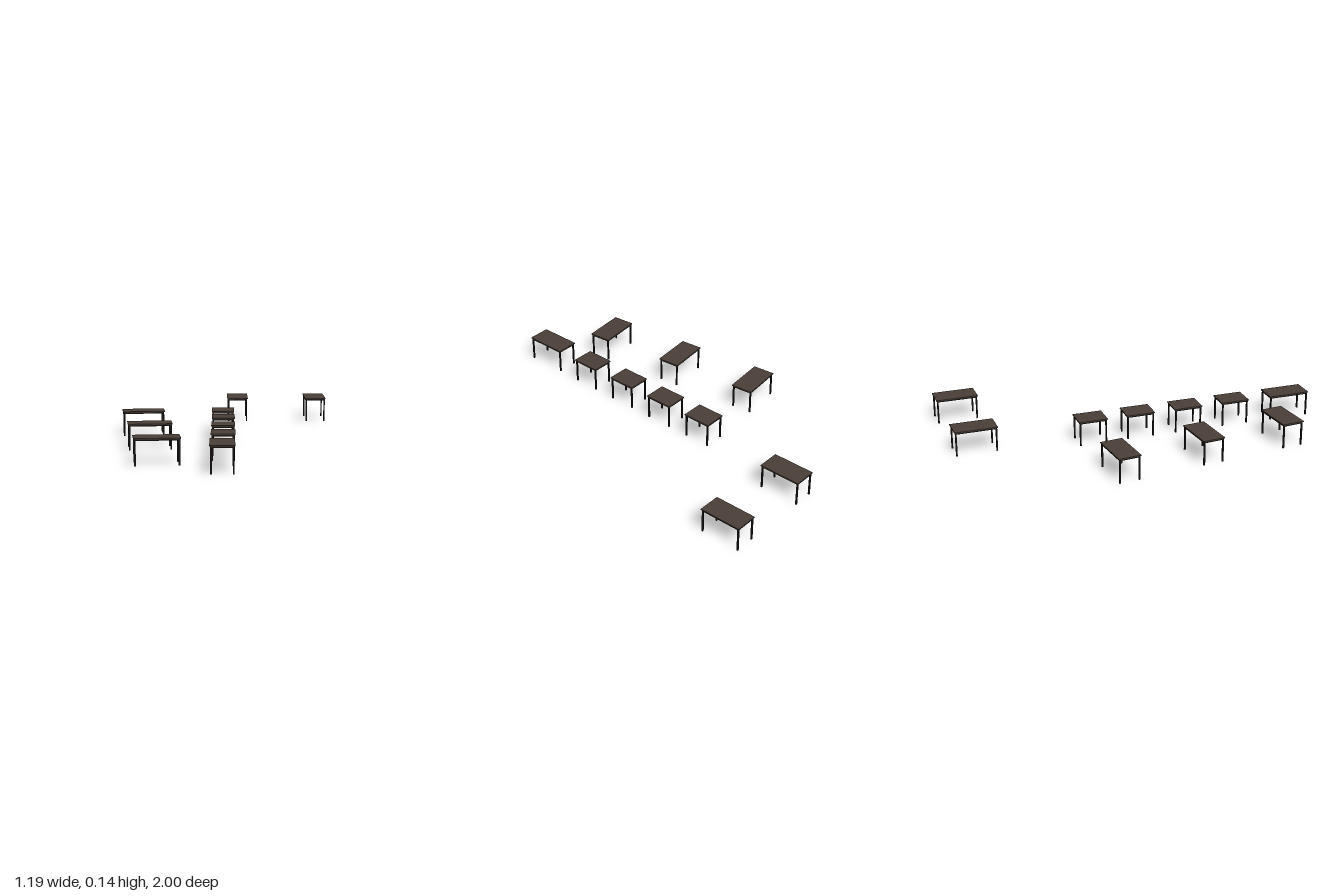
import * as THREE from 'three';

const HEIGHT = 0.138, TOP = 0.005, RAIL = 0.008, LEG = 0.008, INSET = 0.004;

// x, z, width, depth, turn about y
const TABLES = [
  ['rearTable', 0.061, -0.882, 0.124, 0.234, 0.008],
  ['rearTable', 0.53, -0.882, 0.124, 0.234, 0.008],
  ['angledTable', -0.474, -0.244, 0.234, 0.124, 0.106],
  ['angledTable', -0.412, 0.237, 0.234, 0.124, 0.106],
  ['angledTable', -0.352, 0.716, 0.234, 0.124, 0.106],
  ['smallTable', -0.026, -0.264, 0.124, 0.16, 0.004],
  ['smallTable', -0.024, 0.005, 0.124, 0.16, 0.004],
  ['smallTable', -0.025, 0.28, 0.124, 0.16, 0.004],
  ['smallTable', -0.025, 0.557, 0.124, 0.16, 0.004],
  ['frontTable', -0.029, 0.882, 0.124, 0.234, 0.008],
];

export function createModel() {
  const wood = new THREE.MeshStandardMaterial({ color: 0x4a3f38 });
  wood.name = 'dark wood';
  const metal = new THREE.MeshStandardMaterial({ color: 0x1f1b19 });
  metal.name = 'black frame';

  const addBox = (parent, name, size, position, material) => {
    const mesh = new THREE.Mesh(new THREE.BoxGeometry(...size), material);
    mesh.name = name;
    mesh.position.set(...position);
    parent.add(mesh);
  };

  const makeTable = (width, depth) => {
    const table = new THREE.Group();
    addBox(table, 'tableTop', [width, TOP, depth], [0, HEIGHT - TOP / 2, 0], wood);

    // legs at the corners, rails between them under the top
    const legHeight = HEIGHT - TOP;
    const x = width / 2 - INSET - LEG / 2;
    const z = depth / 2 - INSET - LEG / 2;
    const railY = legHeight - RAIL / 2;
    for (const side of [-1, 1]) {
      for (const end of [-1, 1]) {
        addBox(table, 'leg', [LEG, legHeight, LEG], [side * x, legHeight / 2, end * z], metal);
      }
      addBox(table, 'sideRail', [LEG, RAIL, 2 * z - LEG], [side * x, railY, 0], metal);
      addBox(table, 'endRail', [2 * x - LEG, RAIL, LEG], [0, railY, side * z], metal);
    }
    return table;
  };

  const model = new THREE.Group();
  model.name = 'tables';
  for (const [name, x, z, width, depth, turn] of TABLES) {
    const table = makeTable(width, depth);
    table.name = name;
    table.position.set(x, 0, z);
    table.rotation.y = turn;
    model.add(table);
  }
  return model;
}
